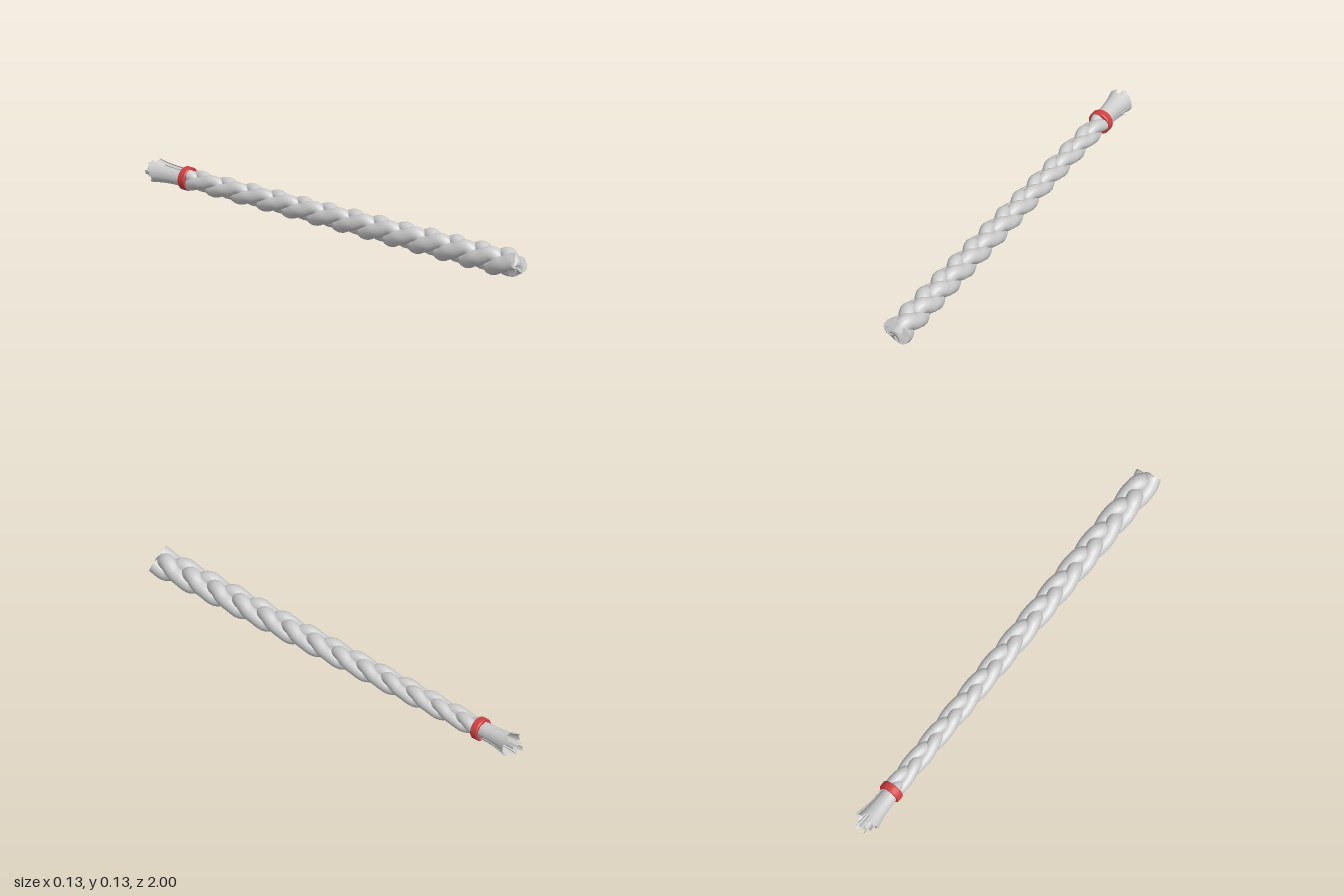
import * as THREE from 'three';
import { mergeVertices } from 'three/addons/utils/BufferGeometryUtils.js';

const CY = 0.066;          // height of the braid axis
const FRONT = 0.99, BACK = -0.79;
const PERIOD = 0.411;      // length of one full weave of a strand
const STRAND_R = 0.036;

const grey = new THREE.MeshStandardMaterial({ color: 0xcccccc });
const greyThin = new THREE.MeshStandardMaterial({ color: 0xcccccc, side: THREE.DoubleSide });
const red = new THREE.MeshStandardMaterial({ color: 0xd04040 });

// Figure-eight path of one strand of a three-strand braid
class StrandCurve extends THREE.Curve {
  constructor(phase) {
    super();
    this.phase = phase;
    this.arcLengthDivisions = 1000;
  }
  getPoint(u, target = new THREE.Vector3()) {
    const z = FRONT + (BACK - FRONT) * u;
    const t = this.phase + ((FRONT - z) / PERIOD) * Math.PI * 2;
    return target.set(
      0.029 * Math.sin(t),
      0.0245 * (Math.sin(2 * t) + 0.3 * Math.sin(4 * t)),
      z
    );
  }
}

// The braid narrows evenly toward the band
const taper = (z) => 1 - 0.3 * (FRONT - z) / (FRONT - BACK);

function makeStrand(phase) {
  const strand = new THREE.Group();
  strand.name = 'braidStrand';
  const sides = 18;
  let geo = new THREE.TubeGeometry(new StrandCurve(phase), 260, STRAND_R, sides, false);
  const p = geo.attributes.position;
  for (let i = 0; i < p.count; i++) {
    const s = taper(p.getZ(i));
    p.setXYZ(i, p.getX(i) * s, p.getY(i) * s, Math.min(p.getZ(i), 1));
  }
  geo.deleteAttribute('uv');
  geo.deleteAttribute('normal');
  geo = mergeVertices(geo, 1e-5);
  geo.computeVertexNormals();
  const body = new THREE.Mesh(geo, grey);
  body.name = 'strandBody';
  strand.add(body);

  // Cap on the front end
  const ring = [];
  const centre = new THREE.Vector3();
  for (let i = 0; i < sides; i++) {
    ring.push(new THREE.Vector3().fromBufferAttribute(p, i));
    centre.addScaledVector(ring[i], 1 / sides);
  }
  const fan = [];
  for (let i = 0; i < sides; i++) {
    const a = ring[i], b = ring[(i + 1) % sides];
    const ccw = (a.x - centre.x) * (b.y - centre.y) - (a.y - centre.y) * (b.x - centre.x) > 0;
    fan.push(centre, ccw ? a : b, ccw ? b : a);
  }
  const capGeo = new THREE.BufferGeometry().setFromPoints(fan);
  capGeo.computeVertexNormals();
  const cap = new THREE.Mesh(capGeo, greyThin);
  cap.name = 'strandEnd';
  strand.add(cap);
  return strand;
}

// Thin curved strip around the axis; radiusAt(v) gives the flare from root to tip
function makeBlade(name, angle, width, zRoot, zTip, radiusAt, skew) {
  const geo = new THREE.PlaneGeometry(1, 1, 6, 12);
  const p = geo.attributes.position;
  for (let i = 0; i < p.count; i++) {
    const u = p.getX(i), v = p.getY(i) + 0.5;
    const a = angle + u * width;
    const r = radiusAt(v) + u * skew;
    p.setXYZ(i, r * Math.cos(a), r * Math.sin(a), zRoot + (zTip - zRoot) * v);
  }
  geo.computeVertexNormals();
  const blade = new THREE.Mesh(geo, greyThin);
  blade.name = name;
  return blade;
}

export function createModel() {
  const model = new THREE.Group();
  model.name = 'braid';
  const axis = new THREE.Group();
  axis.name = 'braidAxis';
  axis.position.y = CY;
  model.add(axis);

  // Three interwoven strands
  for (let i = 0; i < 3; i++) {
    axis.add(makeStrand(THREE.MathUtils.degToRad(100 + 120 * i)));
  }

  // Band holding the end together
  const bandProfile = [
    [0.036, -0.017], [0.048, -0.017], [0.048, -0.017], [0.0505, -0.013], [0.0505, -0.013],
    [0.0505, 0.013], [0.0505, 0.013], [0.048, 0.017], [0.048, 0.017], [0.036, 0.017],
    [0.036, 0.017], [0.036, -0.017],
  ].map(([x, y]) => new THREE.Vector2(x, y));
  const band = new THREE.Mesh(new THREE.LatheGeometry(bandProfile, 40), red);
  band.name = 'band';
  band.rotation.x = Math.PI / 2;
  band.position.z = -0.787;
  axis.add(band);

  // Flared tuft: outer blades curl outward, inner ones stay narrow and reach further
  const tuft = new THREE.Group();
  tuft.name = 'tuft';
  const outer = 9;
  for (let i = 0; i < outer; i++) {
    const a = (i / outer) * Math.PI * 2 + 0.2;
    const tip = -0.955 - 0.012 * Math.sin(i * 2.4);
    const flare = 0.013 + 0.003 * Math.cos(i * 1.7);
    tuft.add(makeBlade('outerBlade', a, 0.72, -0.79, tip,
      (v) => 0.037 + 0.003 * v + flare * v ** 3, 0.004));
  }
  const inner = 6;
  for (let i = 0; i < inner; i++) {
    const a = (i / inner) * Math.PI * 2 + 0.5;
    const tip = i % 2 ? -1 : -0.985;
    tuft.add(makeBlade('innerBlade', a, 0.85, -0.79, tip, (v) => 0.02 + 0.005 * v * v, 0.005));
  }
  axis.add(tuft);

  return model;
}
